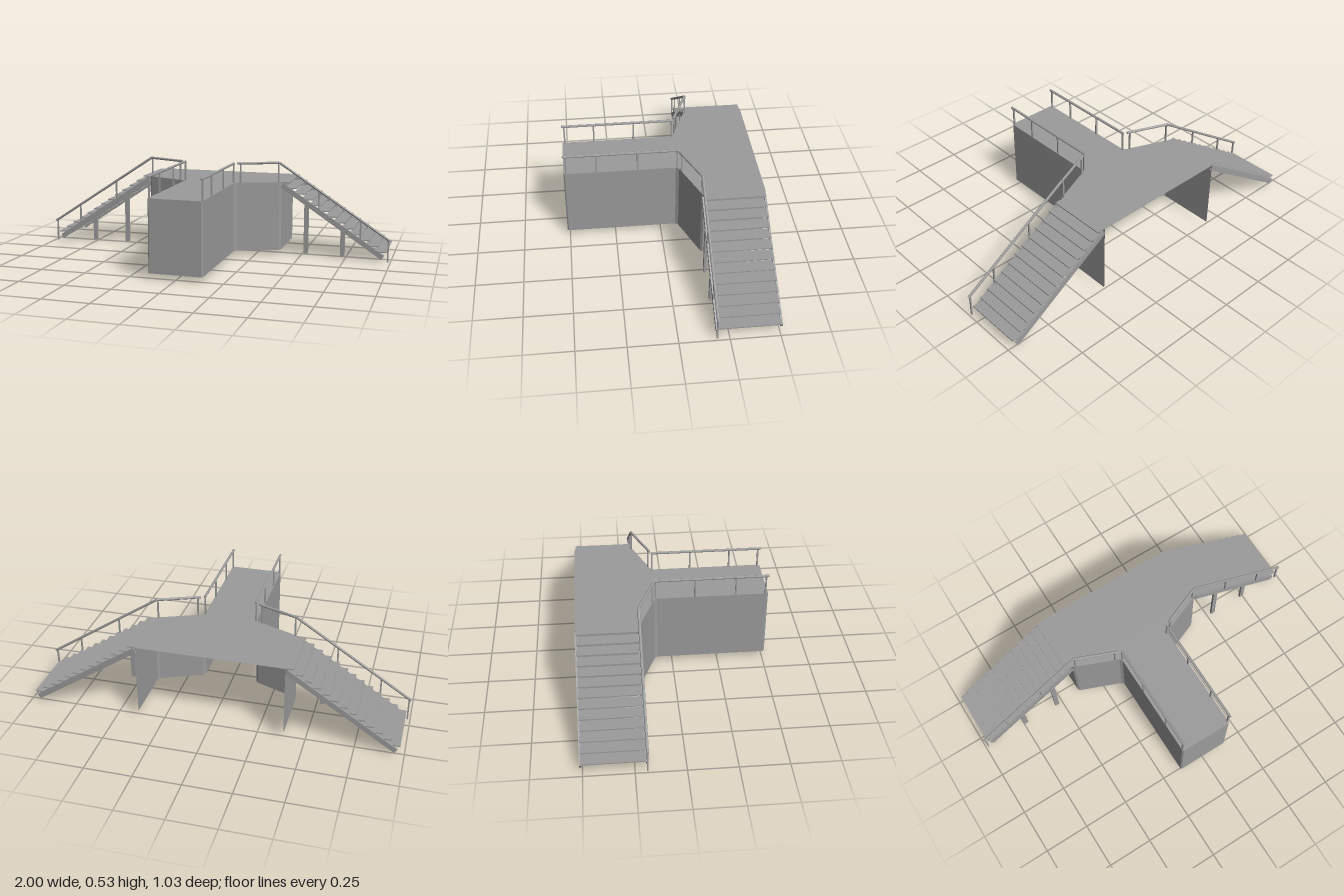
import * as THREE from 'three';

const mat = new THREE.MeshStandardMaterial({ color: 0x9b9b9b, side: THREE.DoubleSide, flatShading: true });
const DECK = 0.415, BASE = 0.029, FRONT = -0.19, BACK = -0.515;

function add(parent, geometry, name) {
  const mesh = new THREE.Mesh(geometry, mat);
  mesh.name = name;
  parent.add(mesh);
  return mesh;
}

function box(parent, name, w, h, d, x, y, z) {
  const mesh = add(parent, new THREE.BoxGeometry(w, h, d), name);
  mesh.position.set(x, y, z);
  return mesh;
}

// Round bar between two points
function bar(parent, name, a, b, r) {
  const p = new THREE.Vector3(...a), q = new THREE.Vector3(...b);
  const dir = q.clone().sub(p);
  const mesh = add(parent, new THREE.CylinderGeometry(r, r, dir.length(), 8), name);
  mesh.position.copy(p).add(q).multiplyScalar(0.5);
  mesh.quaternion.setFromUnitVectors(new THREE.Vector3(0, 1, 0), dir.normalize());
}

// T-shaped deck with chamfered walls around it, open at the back and below
function platform() {
  const g = new THREE.Group();
  g.name = 'platform';
  const half = [
    [0.389, BACK], [0.389, -0.197], [0.379, -0.186],
    [0.156, -0.096], [0.145, -0.08], [0.145, 0.506], [0.139, 0.514],
  ];
  const outline = [...half, ...half.map(([x, z]) => [-x, z]).reverse()];
  const shape = new THREE.Shape(outline.map(([x, z]) => new THREE.Vector2(x, -z)));
  add(g, new THREE.ShapeGeometry(shape).rotateX(-Math.PI / 2), 'deck').position.y = DECK;
  for (let i = 0; i < outline.length - 1; i++) {
    const [ax, az] = outline[i], [bx, bz] = outline[i + 1];
    const wall = add(g, new THREE.PlaneGeometry(Math.hypot(bx - ax, bz - az), DECK - BASE), 'wall');
    wall.position.set((ax + bx) / 2, (DECK + BASE) / 2, (az + bz) / 2);
    wall.rotation.y = -Math.atan2(bz - az, bx - ax) + Math.PI;
  }
  return g;
}

// Open stair going down to one side (s = 1 or -1)
function stair(s) {
  const g = new THREE.Group();
  g.name = s > 0 ? 'leftStair' : 'rightStair';
  for (let i = 0; i < 13; i++) {
    box(g, 'tread', 0.07, 0.006, 0.314, s * (0.942 - 0.0455 * i), 0.052 + 0.03 * i, -0.352);
  }
  const dx = 0.957 - 0.392, dy = 0.397 - 0.023;
  for (const z of [FRONT, -0.51]) {
    const stringer = box(g, 'stringer', Math.hypot(dx, dy), 0.028, 0.01, s * 0.6745, 0.21, z);
    stringer.rotation.z = -s * Math.atan2(dy, dx);
  }
  for (const [x, top] of [[0.737, 0.165], [0.533, 0.3]]) {
    box(g, 'supportPost', 0.025, top - 0.02, 0.014, s * x, (top + 0.02) / 2, FRONT);
  }
  return g;
}

// Handrails along the walkway, the slanted wall and the stair
function railing(s) {
  const g = new THREE.Group();
  g.name = s > 0 ? 'leftRailing' : 'rightRailing';
  const R = 0.007, Y = 0.523, x0 = s * 0.14, zs = -0.189;
  const post = (x, z, low, high) =>
    box(g, 'railPost', 0.008, high - low, 0.008, x, (low + high) / 2, z);

  bar(g, 'walkwayHandrail', [x0, Y, 0.515], [x0, Y, -0.092], R);
  for (const z of [0.5, 0.34, 0.122, -0.088]) post(x0, z, DECK, Y);

  const path = [[s * 0.16, Y, -0.1], [s * 0.345, Y, -0.176], [s * 0.378, Y, zs], [s * 0.995, 0.118, zs]];
  for (let i = 0; i < 3; i++) bar(g, 'stairHandrail', path[i], path[i + 1], R);
  post(s * 0.175, -0.107, DECK, Y);
  post(s * 0.372, zs, DECK, Y);
  for (const [x, low] of [[0.6, 0.26], [0.833, 0.11], [0.985, 0]]) {
    post(s * x, zs, low, Y - (x - 0.378) * 0.656);
  }
  return g;
}

export function createModel() {
  const model = new THREE.Group();
  model.name = 'platformWithStairs';
  model.add(platform());
  for (const s of [1, -1]) model.add(stair(s), railing(s));
  return model;
}
